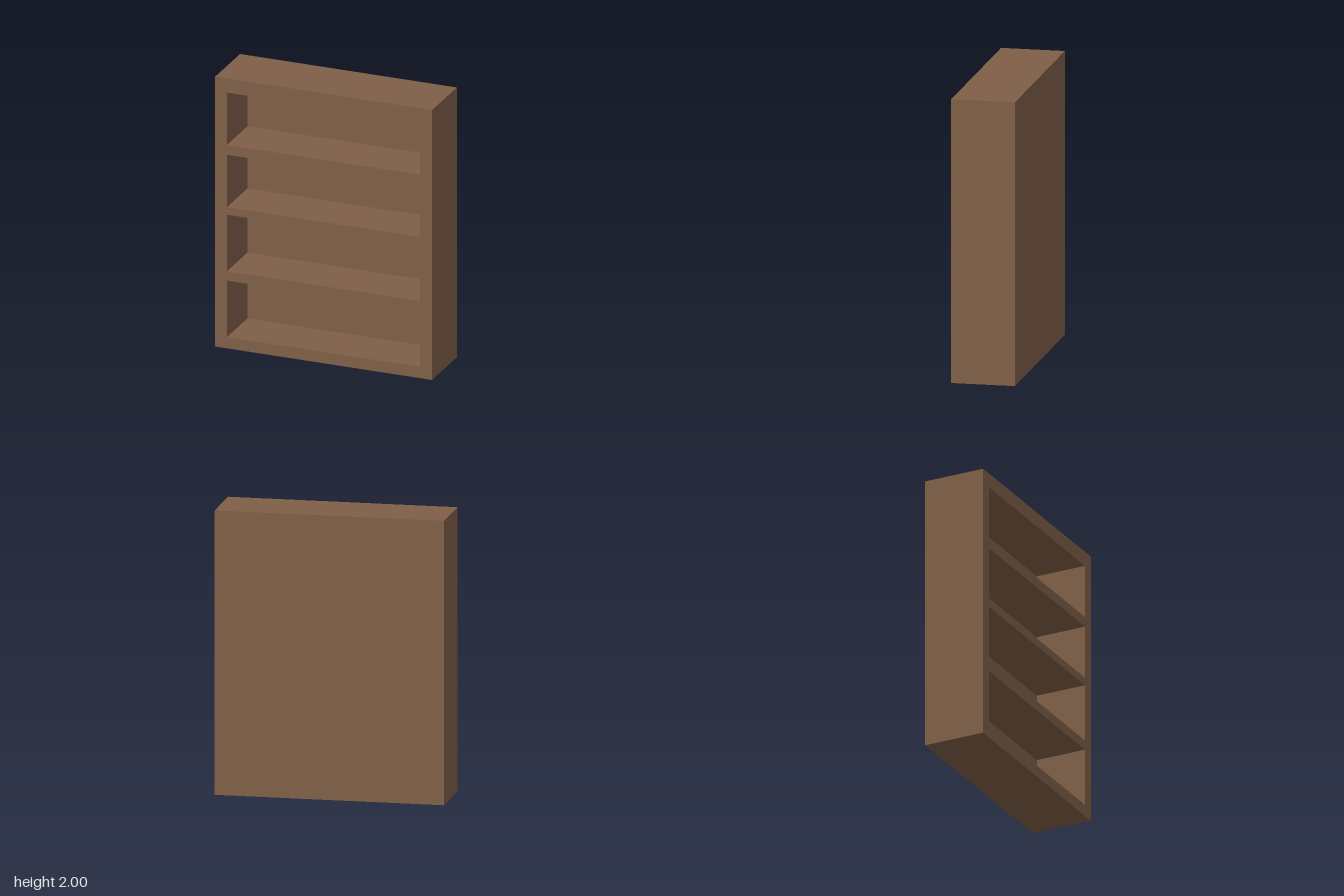
import * as THREE from 'three';

const HALF_W = 0.805, HEIGHT = 2, HALF_D = 0.224;
const BACK_THICKNESS = 0.075;
const INNER_HALF_W = 0.718;
// Bottom and top of each shelf opening
const OPENINGS = [[0.083, 0.502], [0.571, 0.99], [1.046, 1.434], [1.507, 1.895]];

function rectangle(path, halfW, bottom, top) {
  path.moveTo(-halfW, bottom);
  path.lineTo(halfW, bottom);
  path.lineTo(halfW, top);
  path.lineTo(-halfW, top);
  path.closePath();
  return path;
}

export function createModel() {
  const group = new THREE.Group();
  group.name = 'bookcase';
  const wood = new THREE.MeshStandardMaterial({ color: 0x7f5f47 });

  // Sides, top, base and shelves as one frame with four openings
  const outline = rectangle(new THREE.Shape(), HALF_W, 0, HEIGHT);
  for (const [bottom, top] of OPENINGS) {
    outline.holes.push(rectangle(new THREE.Path(), INNER_HALF_W, bottom, top));
  }
  const frame = new THREE.Mesh(
    new THREE.ExtrudeGeometry(outline, { depth: 2 * HALF_D - BACK_THICKNESS, bevelEnabled: false }),
    wood
  );
  frame.name = 'shelfFrame';
  frame.position.z = -HALF_D + BACK_THICKNESS;
  group.add(frame);

  // Solid panel closing the back
  const back = new THREE.Mesh(new THREE.BoxGeometry(2 * HALF_W, HEIGHT, BACK_THICKNESS), wood);
  back.name = 'backPanel';
  back.position.set(0, HEIGHT / 2, -HALF_D + BACK_THICKNESS / 2);
  group.add(back);

  return group;
}
